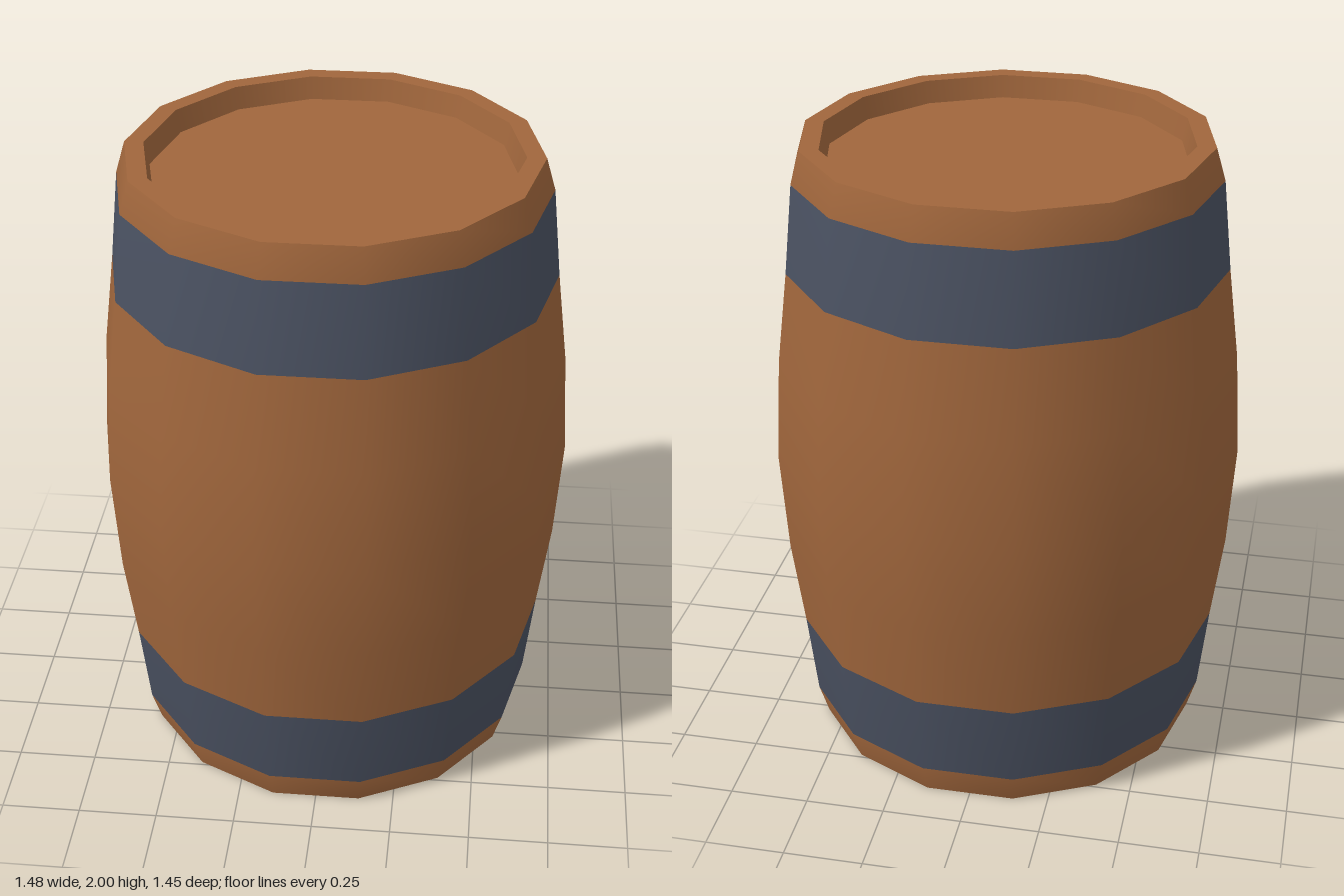
import * as THREE from 'three';

const SIDES = 14;

// Revolved surface with a corner on the x axis
function revolve(points) {
  const pts = points.map(([r, y]) => new THREE.Vector2(r, y));
  return new THREE.LatheGeometry(pts, SIDES, Math.PI / 2);
}

// Keeps only the rows from..to of a revolved surface, with its smooth normals
function sliceRows(geometry, rows, from, to) {
  const slice = geometry.clone();
  const source = geometry.index.array;
  const kept = [];
  for (let s = 0; s < SIDES; s++) {
    const start = (s * rows + from) * 6;
    kept.push(...source.slice(start, start + (to - from) * 6));
  }
  slice.setIndex(kept);
  return slice;
}

export function createModel() {
  const wood = new THREE.MeshStandardMaterial({ color: 0xa0663c });
  wood.name = 'brown wood';
  const iron = new THREE.MeshStandardMaterial({ color: 0x4a5161 });
  iron.name = 'dark iron';

  const barrel = new THREE.Group();
  barrel.name = 'barrel';
  const add = (name, geometry, material) => {
    const mesh = new THREE.Mesh(geometry, material);
    mesh.name = name;
    barrel.add(mesh);
  };

  // Bulging side profile, mirrored about the middle
  const lower = [[0.625, 0], [0.655, 0.1], [0.685, 0.38], [0.722, 0.67]];
  const upper = lower.map(([r, y]) => [r, 2 - y]).reverse();
  const profile = [...lower, [0.742, 1], ...upper];
  const rows = profile.length - 1;
  const side = revolve(profile);

  // Staves and hoops share one smooth surface
  add('bottomStaves', sliceRows(side, rows, 0, 1), wood);
  add('bottomHoop', sliceRows(side, rows, 1, 2), iron);
  add('middleStaves', sliceRows(side, rows, 2, 6), wood);
  add('topHoop', sliceRows(side, rows, 6, 7), iron);
  add('topStaves', sliceRows(side, rows, 7, 8), wood);

  // Flat base, rim and recessed lid
  add('base', revolve([[0, 0], [0.625, 0]]), wood);
  add('rim', revolve([[0.625, 2], [0.567, 2]]), wood);
  add('rimInnerWall', revolve([[0.567, 2], [0.552, 1.93]]), wood);
  add('lid', revolve([[0.552, 1.93], [0, 1.93]]), wood);

  return barrel;
}
